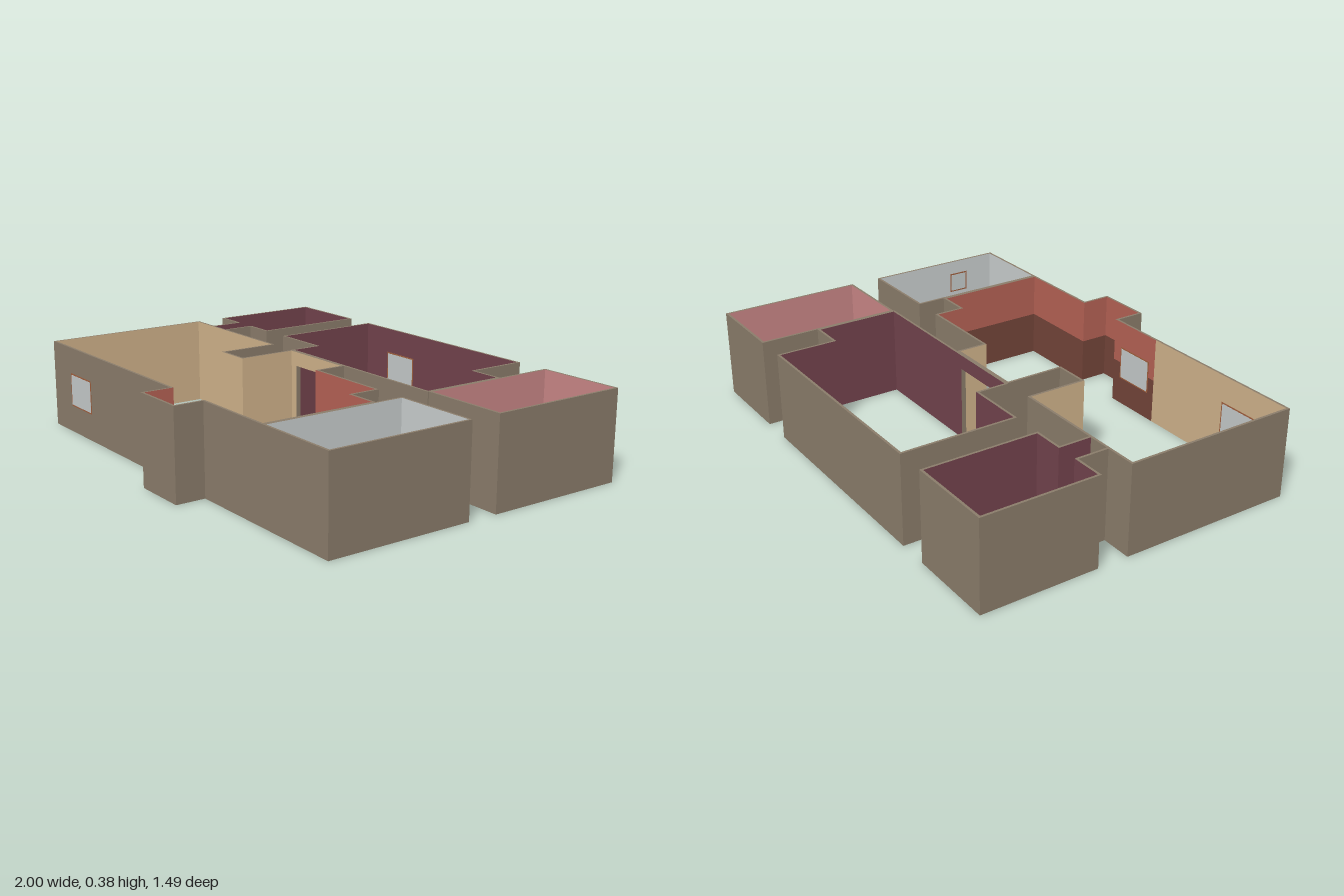
import * as THREE from 'three';

const H = 0.375;      // wall height
const T = 0.01;       // wall thickness
const RAIL = 0.19;    // top of the dark lower wall colour
const LINTEL = 0.315; // underside of the door lintel

const mat = (name, color) => new THREE.MeshStandardMaterial({ name, color });
const M = {
  outer: mat('taupe outside', 0x8b7d6b),
  tan: mat('tan', 0xd2b48c),
  red: mat('brick red', 0xb66255),
  dark: mat('dark red', 0x74453a),
  maroon: mat('maroon', 0x73434d),
  pink: mat('pink', 0xcb8888),
  gray: mat('pale gray', 0xcbd0d0),
  glass: mat('window gray', 0xc6cccc),
  frame: mat('frame brown', 0xa0603f),
};

// One mitred wall piece: a-b is the outer line, a2-b2 the inner line.
function wallPiece(a, b, a2, b2, y0, y1, inner, name) {
  const lo = (p) => [p[0], y0, p[1]];
  const hi = (p) => [p[0], y1, p[1]];
  const quads = [
    [lo(a), hi(a), hi(b), lo(b)],
    [hi(a), hi(a2), hi(b2), hi(b)],
    [lo(a), lo(b), lo(b2), lo(a2)],
    [lo(a), lo(a2), hi(a2), hi(a)],
    [lo(b), hi(b), hi(b2), lo(b2)],
    [lo(a2), lo(b2), hi(b2), hi(a2)], // room side
  ];
  const pos = [];
  for (const q of quads) for (const i of [0, 1, 2, 0, 2, 3]) pos.push(...q[i]);
  const g = new THREE.BufferGeometry();
  g.setAttribute('position', new THREE.Float32BufferAttribute(pos, 3));
  g.addGroup(0, 30, 0);
  g.addGroup(30, 6, 1);
  g.computeVertexNormals();
  const mesh = new THREE.Mesh(g, [M.outer, inner]);
  mesh.name = name;
  return mesh;
}

// Walls along a clockwise plan of [x, z, style]; the style belongs to the wall leaving that point.
function room(name, plan, style, closed = true) {
  const group = new THREE.Group();
  group.name = name;
  const n = plan.length;
  const count = closed ? n : n - 1;
  const normal = (i) => {
    const p = plan[(i + n) % n], q = plan[(i + 1 + n) % n];
    return [-Math.sign(q[1] - p[1]), Math.sign(q[0] - p[0])];
  };
  const inset = (i) => {
    const p = plan[i];
    let u = normal(i - 1), v = normal(i);
    if (!closed && i === 0) u = v;
    if (!closed && i === n - 1) v = u;
    const straight = u[0] === v[0] && u[1] === v[1];
    const s = straight ? u : [u[0] + v[0], u[1] + v[1]];
    return [p[0] + T * s[0], p[1] + T * s[1]];
  };
  for (let i = 0; i < count; i++) {
    const j = (i + 1) % n;
    const kind = plan[i][2] || style;
    const add = (y0, y1, m, label) =>
      group.add(wallPiece(plan[i], plan[j], inset(i), inset(j), y0, y1, m, label));
    if (kind === 'door') add(LINTEL, H, M[style], 'doorLintel');
    else if (kind === 'red') {
      add(0, RAIL, M.dark, 'lowerWall');
      add(RAIL, H, M.red, 'upperWall');
    } else add(0, H, M[kind], 'wall');
  }
  return group;
}

// Framed pane lying on a wall face; turn points it away from the wall.
function pane(x, y, z, w, h, turn) {
  const g = new THREE.Group();
  g.name = 'window';
  const frame = new THREE.Mesh(new THREE.BoxGeometry(w, h, 0.002), M.frame);
  frame.name = 'windowFrame';
  const glass = new THREE.Mesh(new THREE.BoxGeometry(w - 0.012, h - 0.012, 0.002), M.glass);
  glass.name = 'windowPane';
  glass.position.z = 0.001;
  g.add(frame, glass);
  g.position.set(x, y, z);
  g.rotation.y = turn;
  return g;
}

export function createModel() {
  const model = new THREE.Group();
  model.name = 'floorPlanWalls';

  // Main room: tan on one end, red with a dark lower half on the other
  model.add(room('mainRoom', [
    [-1, 0.62], [-1, -0.125], [-0.38, -0.125], [-0.38, 0.125], [-0.245, 0.125],
    [-0.245, -0.125], [-0.2, -0.125, 'door'], [0.07, -0.125], [0.115, -0.125],
    [0.115, 0, 'red'], [0.49, 0, 'red'], [0.49, 0.125, 'red'], [0.625, 0.125, 'red'],
    [0.625, 0.62, 'red'], [0.245, 0.62, 'red'], [0.245, 0.745, 'red'],
    [0.005, 0.745, 'red'], [0.005, 0.62, 'red'], [-0.25, 0.62],
  ], 'tan'));

  // Large back room
  model.add(room('backRoom', [
    [-0.5, -0.745], [0.485, -0.745], [0.485, -0.495], [0.625, -0.495], [0.625, -0.125],
    [0.07, -0.125, 'door'], [-0.2, -0.125], [-0.25, -0.125], [-0.25, -0.255], [-0.5, -0.255],
  ], 'maroon'));

  // Small corner room with its short passage
  model.add(room('cornerRoom', [
    [-0.87, -0.125], [-0.87, -0.255], [-1, -0.255], [-1, -0.745],
    [-0.63, -0.745], [-0.63, -0.255], [-0.76, -0.255], [-0.76, -0.125],
  ], 'maroon', false));

  // Two plain side rooms
  model.add(room('pinkRoom', [[0.625, -0.745], [1, -0.745], [1, -0.13], [0.625, -0.13]], 'pink'));
  model.add(room('grayRoom', [[0.625, 0], [1, 0], [1, 0.62], [0.625, 0.62]], 'gray'));

  // Front windows, seen from both sides
  for (const x of [-0.75, -0.122]) {
    model.add(pane(x, 0.19, 0.62, 0.185, 0.145, 0));
    model.add(pane(x, 0.19, 0.62 - T, 0.185, 0.145, Math.PI));
  }
  // Windows on inner walls only
  model.add(pane(-0.51, 0.19, -0.125 + T, 0.185, 0.145, 0));
  model.add(pane(-0.255, 0.195, -0.745 + T, 0.18, 0.145, 0));
  model.add(pane(0.82, 0.2, -0.745 + T, 0.1, 0.1, 0));
  model.add(pane(1 - T, 0.27, 0.43, 0.09, 0.09, -Math.PI / 2));

  return model;
}
